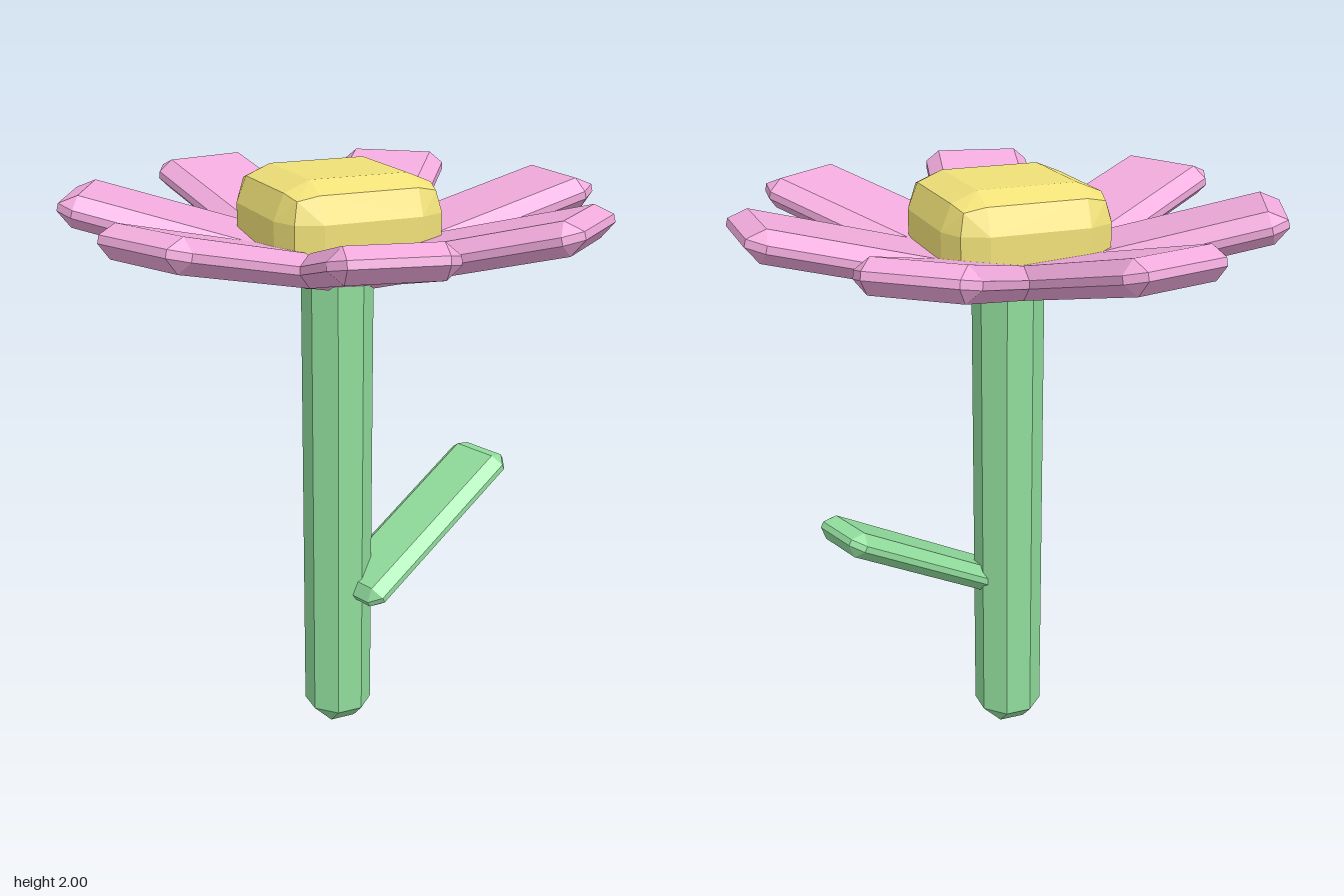
import * as THREE from 'three';
import { ConvexGeometry } from 'three/addons/geometries/ConvexGeometry.js';

const DIAGONAL = Math.SQRT1_2, CORNER = Math.sqrt(1 / 3);

// Box whose edges are cut by a one- or two-step bevel (bevel given per axis)
function beveledBox(size, bevel, steps = 1) {
  const dirs = [[1, 0, 0], [0, 1, 0], [0, 0, 1]];
  if (steps === 2) {
    dirs.push([DIAGONAL, DIAGONAL, 0], [DIAGONAL, 0, DIAGONAL], [0, DIAGONAL, DIAGONAL], [CORNER, CORNER, CORNER]);
  }
  const points = [];
  for (const sx of [-1, 1]) for (const sy of [-1, 1]) for (const sz of [-1, 1]) {
    const sign = [sx, sy, sz];
    for (const dir of dirs) {
      points.push(new THREE.Vector3(...sign.map((s, i) => s * (size[i] / 2 - bevel[i] * (1 - dir[i])))));
    }
  }
  return new ConvexGeometry(points);
}

function makeMesh(name, geometry, color) {
  const mesh = new THREE.Mesh(geometry, new THREE.MeshStandardMaterial({ color, flatShading: true }));
  mesh.name = name;
  return mesh;
}

export function createModel() {
  const model = new THREE.Group();
  model.name = 'flower';
  const green = 0x90dc9c, pink = 0xf0aadc, yellow = 0xf0e078;
  const axisX = -0.016;

  // Stem, its top hidden inside the flower centre
  const stem = makeMesh('stem', beveledBox([0.22, 1.8, 0.22], [0.065, 0.065, 0.065]), green);
  stem.position.set(axisX, 0.9, 0);
  model.add(stem);

  // Single leaf, turned slightly back and rising outwards
  const leaf = makeMesh('leaf', beveledBox([0.76, 0.085, 0.25], [0.04, 0.032, 0.04]), green);
  leaf.position.set(0.31, 0.712, 0);
  leaf.rotation.set(0, THREE.MathUtils.degToRad(17.7), Math.PI / 6, 'YXZ');
  model.add(leaf);

  // Rounded flower centre
  const centre = makeMesh('flowerCentre', beveledBox([0.565, 0.335, 0.565], [0.118, 0.118, 0.118], 2), yellow);
  centre.position.set(axisX, 1.8325, 0);
  model.add(centre);

  // Ring of seven petals tilted upwards
  const petals = new THREE.Group();
  petals.name = 'petals';
  petals.position.set(axisX, 1.798, 0);
  const petalGeometry = beveledBox([0.76, 0.105, 0.37], [0.055, 0.04, 0.045]);
  for (let i = 0; i < 7; i++) {
    const angle = (i / 7) * Math.PI * 2;
    const petal = makeMesh('petal' + (i + 1), petalGeometry, pink);
    petal.position.set(Math.cos(angle) * 0.503, 0, -Math.sin(angle) * 0.503);
    petal.rotation.set(0, angle, Math.PI / 12, 'YXZ');
    petals.add(petal);
  }
  model.add(petals);

  return model;
}
